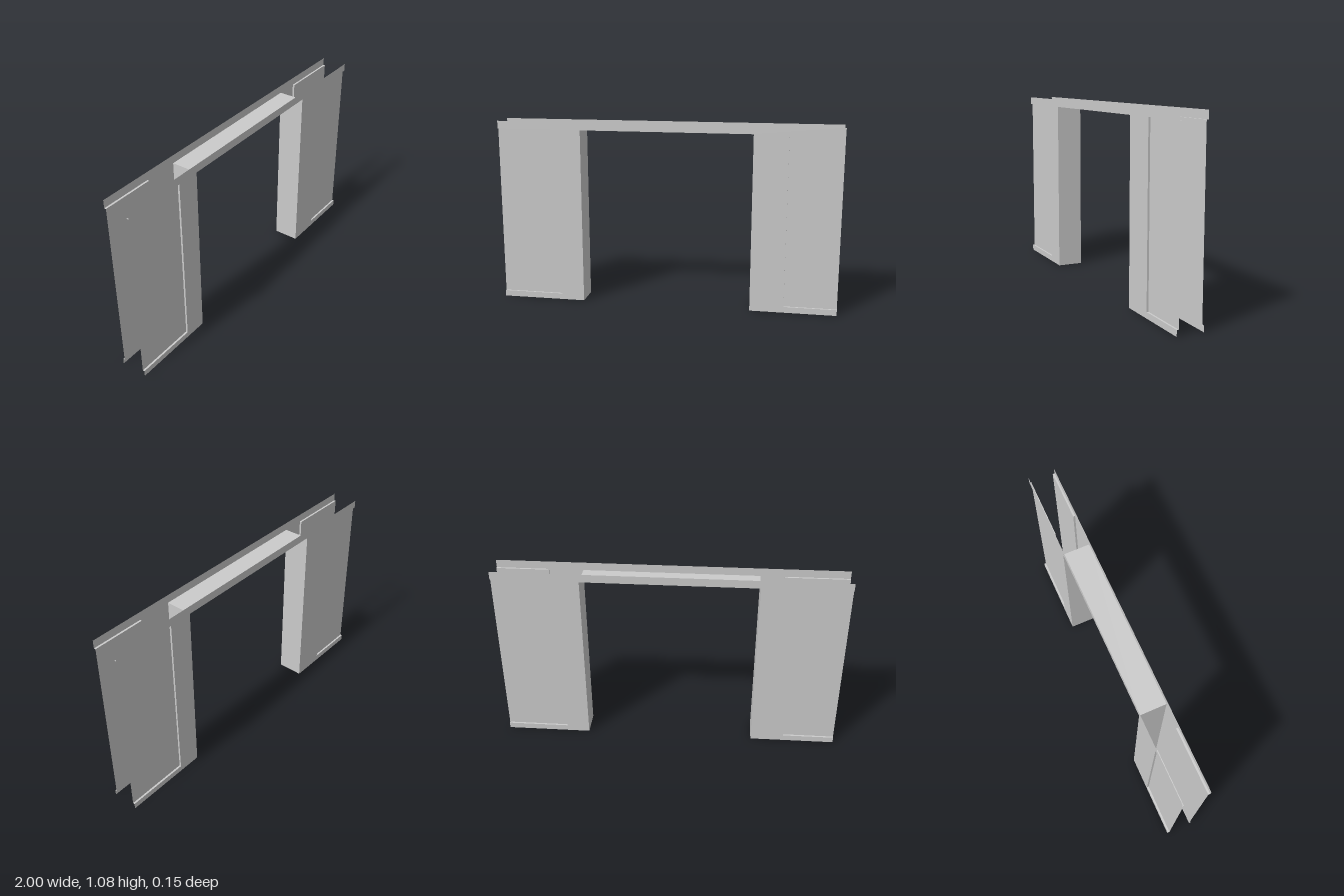
import * as THREE from 'three';

const H = 1.08, DOOR = 1.034, JAMB = 0.5;   // wall height, opening height, half opening width
const LOW = 0.035, HIGH = 1.034;            // recess bottom and top
const FACE = 0.077, BACK = 0.066;           // depth of the wall sheet and of the recessed panels
const WIDE = -0.635, NARROW = 0.697;        // inner edges of the two recesses

export function createModel() {
  const material = new THREE.MeshStandardMaterial({
    color: 0xcccccc, side: THREE.DoubleSide, flatShading: true,
  });
  const model = new THREE.Group();
  model.name = 'doorway';

  // Thin rectangle centred at a position, turned about x and y
  function sheet(parent, name, w, h, position, rx = 0, ry = 0) {
    const mesh = new THREE.Mesh(new THREE.PlaneGeometry(w, h), material);
    mesh.name = name;
    mesh.position.set(...position);
    mesh.rotation.set(rx, ry, 0);
    parent.add(mesh);
  }

  // Recess running from its inner edge out to the open end of the wall
  function addRecess(parent, name, inner) {
    const recess = new THREE.Group();
    recess.name = name;
    const end = Math.sign(inner);
    const width = Math.abs(end - inner), x = (inner + end) / 2;
    const y = (LOW + HIGH) / 2, z = (FACE + BACK) / 2, depth = FACE - BACK;
    sheet(recess, 'panel', width, HIGH - LOW, [x, y, BACK]);
    sheet(recess, 'lowerLedge', width, depth, [x, LOW, z], -Math.PI / 2);
    sheet(recess, 'upperLedge', width, depth, [x, HIGH, z], Math.PI / 2);
    sheet(recess, 'sideReveal', depth, HIGH - LOW, [inner, y, z], 0, end * Math.PI / 2);
    parent.add(recess);
  }

  // One wall sheet, notched for the opening and both recesses
  function makeWall(name) {
    const wall = new THREE.Group();
    wall.name = name;
    const outline = new THREE.Shape([
      [-1, 0], [-JAMB, 0], [-JAMB, DOOR], [JAMB, DOOR], [JAMB, 0], [1, 0],
      [1, LOW], [NARROW, LOW], [NARROW, HIGH], [1, HIGH], [1, H],
      [-1, H], [-1, HIGH], [WIDE, HIGH], [WIDE, LOW], [-1, LOW],
    ].map(([x, y]) => new THREE.Vector2(x, y)));
    const face = new THREE.Mesh(new THREE.ShapeGeometry(outline), material);
    face.name = 'wallFace';
    face.position.z = FACE;
    wall.add(face);
    addRecess(wall, 'wideRecess', WIDE);
    addRecess(wall, 'narrowRecess', NARROW);
    return wall;
  }

  // The back wall is the front wall turned half round
  const backWall = makeWall('backWall');
  backWall.rotation.y = Math.PI;
  model.add(makeWall('frontWall'), backWall);

  // Lining of the opening
  sheet(model, 'lintel', JAMB * 2, FACE * 2, [0, DOOR, 0], Math.PI / 2);
  sheet(model, 'leftJamb', FACE * 2, DOOR, [JAMB, DOOR / 2, 0], 0, -Math.PI / 2);
  sheet(model, 'rightJamb', FACE * 2, DOOR, [-JAMB, DOOR / 2, 0], 0, Math.PI / 2);

  return model;
}
